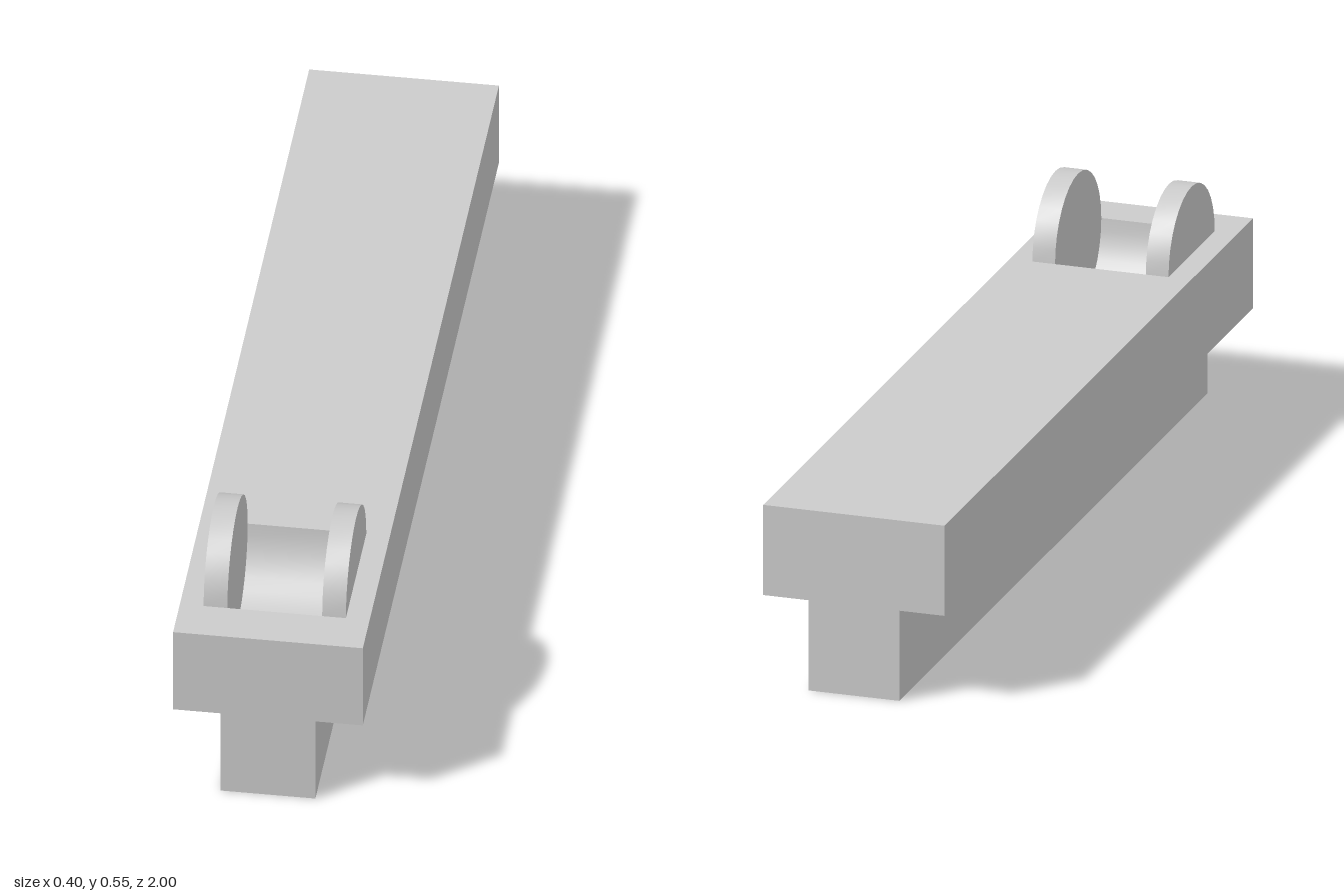
import * as THREE from 'three';
import { toCreasedNormals } from 'three/addons/utils/BufferGeometryUtils.js';

const material = new THREE.MeshStandardMaterial({ color: 0xcccccc });
const TOP = 0.4, LEDGE = 0.2, HALF_LENGTH = 1;
const WHEEL_Z = 0.75, WHEEL_R = 0.15;

// Extrudes a side profile drawn in (z, y) across x, centred on x.
function sideExtrude(name, shape, width, x) {
  const raw = new THREE.ExtrudeGeometry(shape, { depth: width, bevelEnabled: false, curveSegments: 8 });
  raw.translate(0, 0, -width / 2).rotateY(-Math.PI / 2);
  const mesh = new THREE.Mesh(toCreasedNormals(raw, Math.PI / 6), material);
  mesh.name = name;
  mesh.position.x = x;
  return mesh;
}

export function createModel() {
  const model = new THREE.Group();
  model.name = 'slottedBeam';

  // Central web, with a round channel sunk into its top
  const web = new THREE.Shape();
  web.moveTo(-HALF_LENGTH, 0);
  web.lineTo(HALF_LENGTH, 0);
  web.lineTo(HALF_LENGTH, TOP);
  web.lineTo(WHEEL_Z + WHEEL_R, TOP);
  web.absarc(WHEEL_Z, TOP, WHEEL_R, 0, -Math.PI, true);
  web.lineTo(-HALF_LENGTH, TOP);
  web.closePath();
  model.add(sideExtrude('web', web, 0.2, 0));

  // Half disc standing on the top face
  const disc = new THREE.Shape();
  disc.absarc(WHEEL_Z, TOP, WHEEL_R, 0, Math.PI, false);
  disc.closePath();

  for (const [side, s] of [['left', 1], ['right', -1]]) {
    // Flange overhanging the web
    const flange = new THREE.Mesh(new THREE.BoxGeometry(0.1, TOP - LEDGE, 2 * HALF_LENGTH), material);
    flange.name = side + 'Flange';
    flange.position.set(s * 0.15, (TOP + LEDGE) / 2, 0);
    model.add(flange);

    // Sight disc beside the channel
    model.add(sideExtrude(side + 'Disc', disc, 0.05, s * 0.125));
  }
  return model;
}
